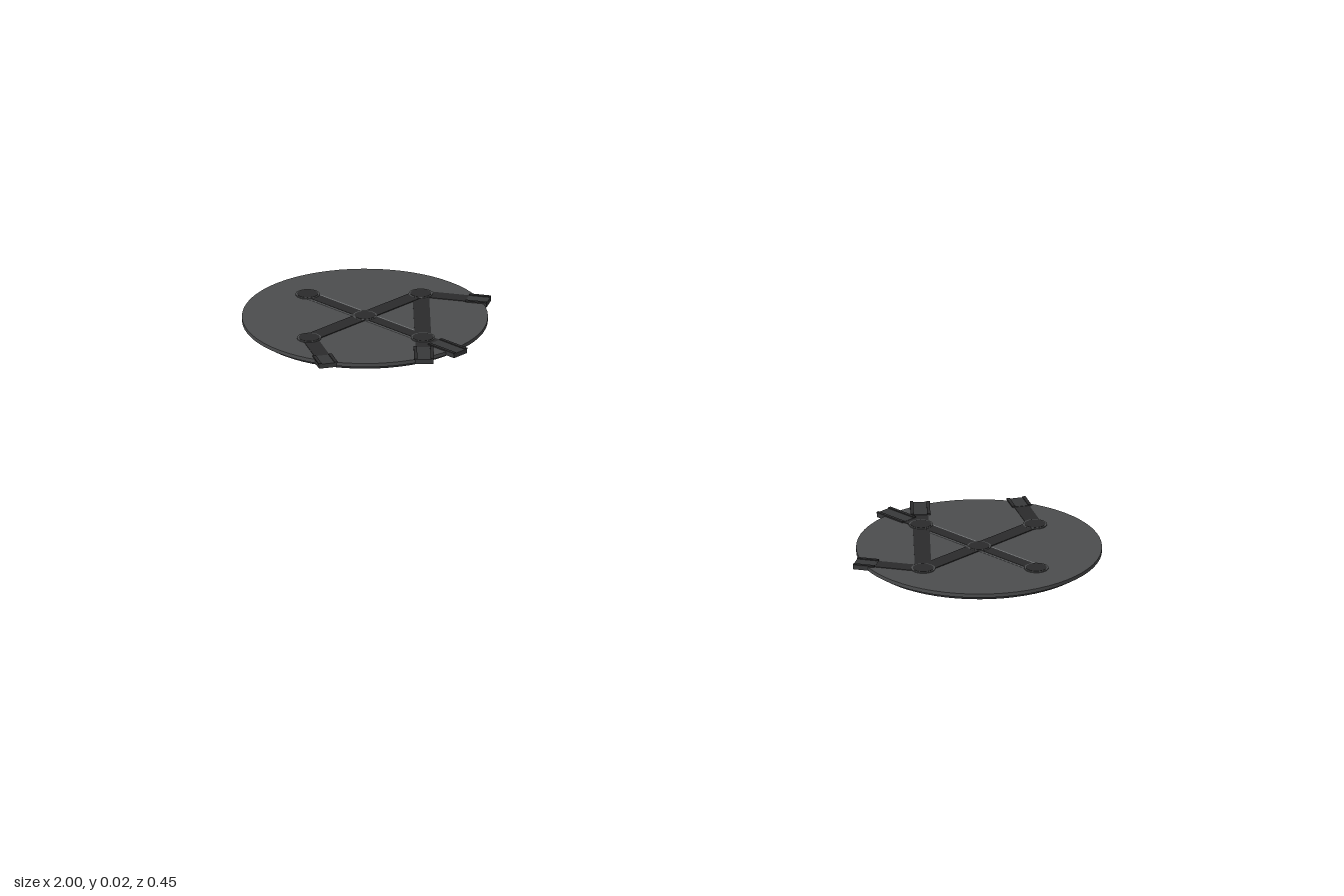
import * as THREE from 'three';

const mat = (color) => new THREE.MeshStandardMaterial({ color });
const plateMat = mat(0x4c4d4e), baseMat = mat(0x27282a), barMat = mat(0x2b2b2c);
const clipMat = mat(0x38393a), edgeMat = mat(0x707274);

function add(group, name, geometry, material, x, y, z, turn = 0) {
  const mesh = new THREE.Mesh(geometry, material);
  mesh.name = name;
  mesh.position.set(x, y, z);
  mesh.rotation.y = turn;
  group.add(mesh);
  return mesh;
}

// Flat bar between two points on the plate, from height y0 to y1
function bar(group, name, a, b, width, y0, y1, material) {
  const dx = b[0] - a[0], dz = b[1] - a[1];
  return add(group, name, new THREE.BoxGeometry(Math.hypot(dx, dz), y1 - y0, width), material,
    (a[0] + b[0]) / 2, (y0 + y1) / 2, (a[1] + b[1]) / 2, -Math.atan2(dz, dx));
}

// Strap that ends in a clip gripping the rim, with a raised lip on each side
function strap(group, from, to, clipLength) {
  const dx = to[0] - from[0], dz = to[1] - from[1], len = Math.hypot(dx, dz);
  const ux = dx / len, uz = dz / len;
  const start = [to[0] - ux * clipLength, to[1] - uz * clipLength];
  bar(group, 'strap', from, start, 0.028, 0.0155, 0.0169, barMat);
  bar(group, 'rimClip', start, to, 0.034, 0.009, 0.0174, clipMat);
  for (const s of [-1, 1]) {
    const ox = -uz * 0.015 * s, oz = ux * 0.015 * s;
    bar(group, 'clipLip', [start[0] + ox, start[1] + oz], [to[0] + ox, to[1] + oz],
      0.006, 0.0165, 0.019, barMat);
  }
}

function createDisc(name) {
  const disc = new THREE.Group();
  disc.name = name;

  // Upper plate with a smaller base beneath it
  add(disc, 'plate', new THREE.CylinderGeometry(0.223, 0.223, 0.007, 64), plateMat, 0, 0.0125, 0);
  add(disc, 'base', new THREE.CylinderGeometry(0.209, 0.209, 0.0092, 64), baseMat, 0, 0.0046, 0);

  // Crossed bars; the long one has a pale edging
  bar(disc, 'barEdging', [-0.145, 0], [0.147, 0], 0.031, 0.0155, 0.0165, edgeMat);
  bar(disc, 'longBar', [-0.145, 0], [0.147, 0], 0.023, 0.0155, 0.0172, barMat);
  bar(disc, 'crossBar', [0, -0.145], [0, 0.145], 0.03, 0.0155, 0.0175, barMat);

  // Straps to the rim
  bar(disc, 'diagonalBar', [0, -0.145], [0.147, 0], 0.03, 0.0155, 0.017, barMat);
  strap(disc, [0.147, 0], [0.242, 0], 0.065);
  strap(disc, [0.147, 0], [0.222, 0.074], 0.06);
  for (const s of [-1, 1]) strap(disc, [0, 0.145 * s], [0.11, 0.2085 * s], 0.04);

  // Flat rivets at the joints
  for (const [x, z] of [[-0.145, 0], [0, 0], [0.147, 0], [0, -0.145], [0, 0.145]]) {
    add(disc, 'rivetRim', new THREE.CylinderGeometry(0.022, 0.022, 0.002, 24), plateMat, x, 0.0167, z);
    add(disc, 'rivet', new THREE.CylinderGeometry(0.019, 0.019, 0.002, 24), barMat, x, 0.0172, z);
  }
  return disc;
}

export function createModel() {
  const model = new THREE.Group();
  model.name = 'discPair';

  // The second disc is the first turned half way round
  const right = createDisc('rightDisc');
  right.position.x = -0.777;
  const left = createDisc('leftDisc');
  left.position.x = 0.777;
  left.rotation.y = Math.PI;
  model.add(right, left);
  return model;
}
